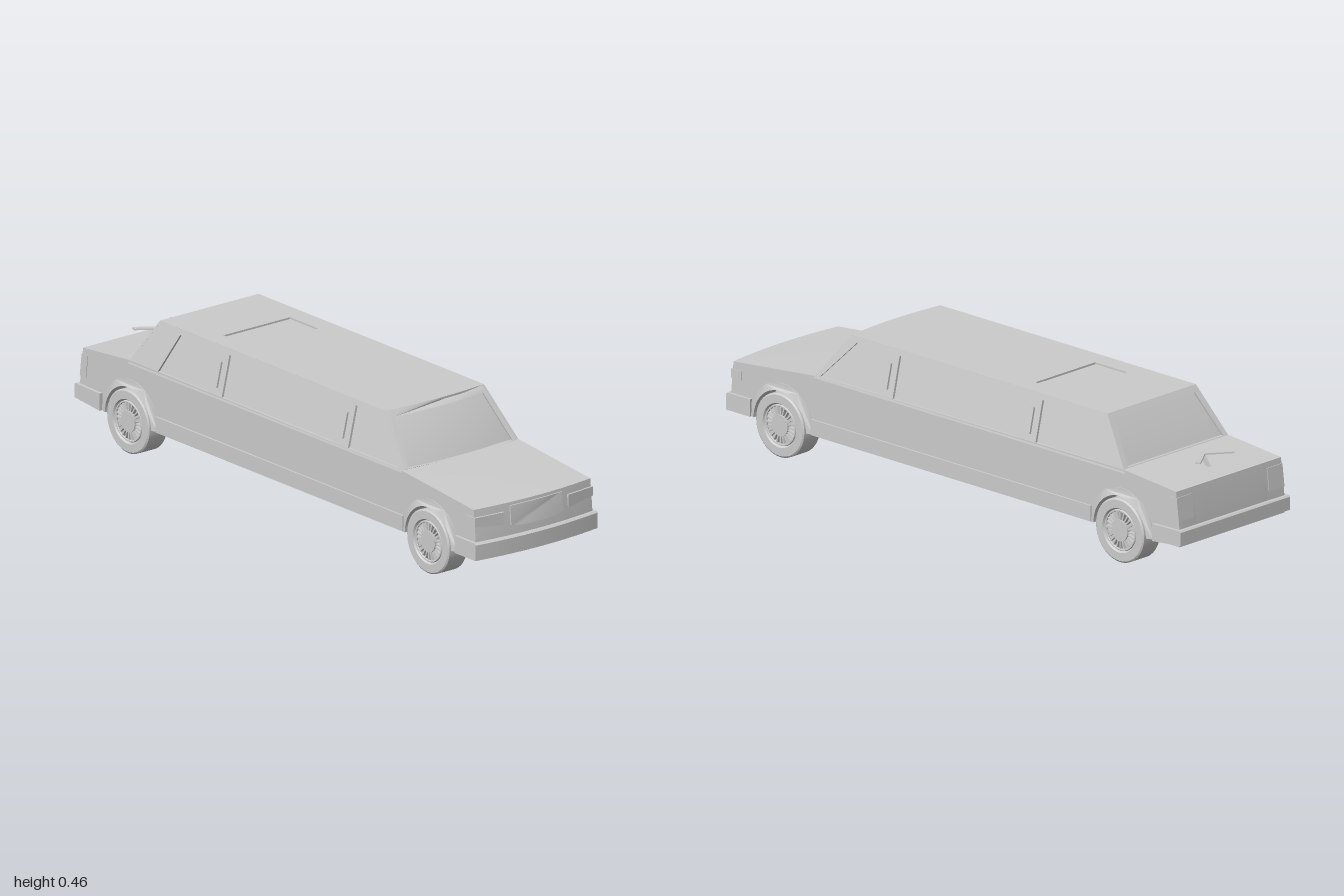
import * as THREE from 'three';
import { toCreasedNormals } from 'three/addons/utils/BufferGeometryUtils.js';

const material = new THREE.MeshStandardMaterial({ color: 0xcccccc });
const BELT = 0.3, ROOF = 0.457, HALF = 0.237, TAPER = 0.236;
const FRONT_AXLE = 0.745, REAR_AXLE = -0.735, AXLE_Y = 0.105;

function shapeOf(points) {
  return new THREE.Shape(points.map(([x, y]) => new THREE.Vector2(x, y)));
}

// Symmetric trapezoid whose long edges are subdivided so they can be bowed
function trapezoid(halfBottom, y0, halfTop, y1, n = 10) {
  const pts = [];
  for (let i = 0; i <= n; i++) pts.push([(2 * i / n - 1) * halfBottom, y0]);
  for (let i = n; i >= 0; i--) pts.push([(2 * i / n - 1) * halfTop, y1]);
  return shapeOf(pts);
}

function extrude(shape, depth, steps = 1) {
  return new THREE.ExtrudeGeometry(shape, { depth, steps, bevelEnabled: false, curveSegments: 24 });
}

// Extrude a (z, y) side outline across x
function extrudeX(shape, x0, x1, steps = 1) {
  return extrude(shape, x1 - x0, steps).rotateY(-Math.PI / 2).translate(x1, 0, 0);
}

function warp(geometry, rule) {
  const p = geometry.attributes.position, v = new THREE.Vector3();
  for (let i = 0; i < p.count; i++) {
    rule(v.fromBufferAttribute(p, i));
    p.setXYZ(i, v.x, v.y, v.z);
  }
  return geometry;
}

// The nose and windscreen bow gently forward at the middle
function bow(v) {
  const t = THREE.MathUtils.clamp((v.z - 0.35) / 0.12, 0, 1);
  v.z -= 0.018 * t * (v.x / HALF) ** 2;
}

function add(parent, name, geometry, bowed = true) {
  if (bowed) warp(geometry, bow);
  const mesh = new THREE.Mesh(toCreasedNormals(geometry, 0.5), material);
  mesh.name = name;
  parent.add(mesh);
  return mesh;
}

function makeWheel() {
  const wheel = new THREE.Group();
  wheel.name = 'wheel';
  const profile = [[0.07, 0], [0.1, 0], [0.105, 0.005], [0.105, 0.076], [0.1, 0.08],
    [0.073, 0.08], [0.068, 0.072], [0.068, 0], [0.07, 0]].map(([r, h]) => new THREE.Vector2(r, h));
  add(wheel, 'tyre', new THREE.LatheGeometry(profile, 40).rotateZ(-Math.PI / 2), false);
  const disc = (name, r, h, x) =>
    add(wheel, name, new THREE.CylinderGeometry(r, r, h, 32).rotateZ(-Math.PI / 2).translate(x, 0, 0), false);
  disc('rimDisc', 0.069, 0.006, 0.06);
  disc('hubCap', 0.035, 0.018, 0.07);
  add(wheel, 'rimRing', new THREE.TorusGeometry(0.064, 0.004, 6, 40).rotateY(Math.PI / 2).translate(0.074, 0, 0), false);
  for (let i = 0; i < 24; i++) {
    const spoke = new THREE.BoxGeometry(0.012, 0.03, 0.005).translate(0.07, 0.049, 0);
    add(wheel, 'spoke', spoke.rotateX(i * Math.PI / 12), false);
  }
  return wheel;
}

export function createModel() {
  const car = new THREE.Group();
  car.name = 'limousine';

  // Lower body: a solid centre and two flanks with wheel arches cut out
  const upper = [[0.985, 0.105], [0.985, 0.165], [0.975, 0.265], [0.62, 0.3],
    [-0.745, 0.305], [-0.97, 0.285], [-0.985, 0.165], [-0.985, 0.105]];
  add(car, 'bodyCore', extrudeX(shapeOf(upper), -0.16, 0.16, 10));
  const flank = new THREE.Shape();
  flank.moveTo(-0.985, AXLE_Y);
  for (const z of [REAR_AXLE, FRONT_AXLE + 0.014]) {
    flank.lineTo(z - 0.118, AXLE_Y);
    flank.absarc(z, AXLE_Y, 0.118, Math.PI, 0, true);
  }
  for (const [z, y] of upper.slice(0, -1)) flank.lineTo(z, y);
  add(car, 'leftFlank', extrudeX(flank, 0.16, HALF, 3));
  add(car, 'rightFlank', extrudeX(flank, -HALF, -0.16, 3));

  // Bumpers
  add(car, 'frontBumper', extrudeX(shapeOf([[0.895, 0.103], [0.998, 0.103], [1, 0.155], [0.994, 0.16], [0.895, 0.16]]), -0.248, 0.248, 14));
  add(car, 'rearBumper', extrudeX(shapeOf([[-0.875, 0.103], [-0.875, 0.16], [-0.995, 0.163], [-1, 0.158], [-1, 0.115]]), -0.248, 0.248));

  // Glass volume under the cabin panels
  const glass = extrudeX(shapeOf([[0.61, 0.29], [0.607, BELT], [0.481, 0.451], [-0.629, 0.451], [-0.734, BELT], [-0.738, 0.29]]), -1, 1, 12);
  add(car, 'glass', warp(glass, v => { v.x *= 0.229 - (v.y - BELT) * TAPER; }));

  // Cabin sides with three window openings each
  const side = shapeOf([[0.625, 0.293], [0.62, BELT], [0.49, ROOF], [-0.635, ROOF], [-0.745, BELT], [-0.75, 0.293]]);
  const windows = [
    [[0.598, 0.303], [0.336, 0.303], [0.336, 0.438], [0.462, 0.438]],
    [[0.265, 0.303], [-0.287, 0.303], [-0.287, 0.438], [0.265, 0.438]],
    [[-0.357, 0.303], [-0.603, 0.303], [-0.53, 0.438], [-0.357, 0.438]],
  ];
  side.holes.push(...windows.map(shapeOf));
  for (const s of [1, -1]) {
    const panel = s > 0 ? extrudeX(side, 0.228, HALF) : extrudeX(side, -HALF, -0.228);
    add(car, s > 0 ? 'leftCabinSide' : 'rightCabinSide', warp(panel, v => { v.x -= s * (v.y - BELT) * TAPER; }));
  }

  // Windscreen and rear window frames
  const screen = trapezoid(HALF, BELT, 0.2, ROOF);
  screen.holes.push(trapezoid(0.212, 0.302, 0.181, 0.437));
  add(car, 'windscreenFrame', warp(extrude(screen, 0.008), v => { v.z += 0.612 - (v.y - BELT) * 0.828; }));
  const rear = trapezoid(HALF, BELT, 0.2, ROOF);
  rear.holes.push(trapezoid(0.215, 0.308, 0.181, 0.437));
  add(car, 'rearWindowFrame', warp(extrude(rear, 0.008), v => { v.z += -0.745 + (v.y - BELT) * 0.7; }));

  // Roof skin with a sunken sunroof
  const roof = trapezoid(0.2, -0.49, 0.2, 0.635);
  roof.holes.push(trapezoid(0.135, 0.26, 0.135, 0.4, 1));
  add(car, 'roof', extrude(roof, 0.007).rotateX(-Math.PI / 2).translate(0, 0.45, 0));

  // Grille with a slightly curved lower edge
  const grille = trapezoid(0.105, 0.192, 0.105, 0.255);
  add(car, 'grille', warp(extrude(grille, 0.03), v => {
    if (v.y < 0.2) v.y -= 0.008 * (1 - (v.x / 0.105) ** 2);
    v.z += 0.957 - (v.y - 0.19) * 0.1;
  }));

  const head = [[0.13, 0.198], [0.239, 0.21], [0.239, 0.24], [0.13, 0.24]];
  const tail = [[0.17, 0.19], [0.239, 0.19], [0.239, 0.265], [0.17, 0.265]];
  for (const s of [1, -1]) {
    const mirror = pts => shapeOf(pts.map(([x, y]) => [s * x, y]));
    // Corner lamps
    add(car, 'headlight', extrude(mirror(head), 0.045).translate(0, 0, 0.94));
    add(car, 'tailLight', warp(extrude(mirror(tail), 0.03), v => { v.z += -0.984 + (v.y - 0.19) * 0.125; }));

    // Sill between the wheels
    const sill = add(car, 'sill', new THREE.BoxGeometry(0.012, 0.052, 1.22), false);
    sill.position.set(s * 0.238, 0.129, 0.005);

    // Slim lamps on the cabin pillars
    for (const z of [0.3, -0.322]) {
      const lamp = add(car, 'pillarLamp', new THREE.BoxGeometry(0.01, 0.085, 0.02), false);
      lamp.position.set(s * 0.223, 0.368, z);
      lamp.rotation.z = s * 0.232;
    }

    // Flared arches and wheels
    for (const z of [FRONT_AXLE, REAR_AXLE]) {
      const ring = new THREE.Shape();
      ring.absarc(z, AXLE_Y, 0.138, 0, Math.PI, false);
      ring.absarc(z, AXLE_Y, 0.114, Math.PI, 0, true);
      const flare = s > 0 ? extrudeX(ring, 0.215, 0.248) : extrudeX(ring, -0.248, -0.215);
      // Chamfer the outer rim of the flare
      warp(flare, v => {
        if (Math.hypot(v.z - z, v.y - AXLE_Y) > 0.13 && Math.abs(v.x) > 0.24) v.x = s * 0.24;
      });
      add(car, 'wheelArch', flare, false);
      const wheel = makeWheel();
      wheel.position.set(s * 0.17, AXLE_Y, z);
      if (s < 0) wheel.rotation.y = Math.PI;
      car.add(wheel);
    }
  }

  // Boomerang aerial on the boot lid
  const aerial = shapeOf([[0, 0.842], [0.084, 0.905], [0.076, 0.922], [0, 0.868], [-0.076, 0.922], [-0.084, 0.905]]);
  add(car, 'aerial', extrude(aerial, 0.005).rotateX(-Math.PI / 2).translate(0, 0.326, 0), false);
  const stalk = shapeOf([[-0.895, 0.285], [-0.88, 0.285], [-0.848, 0.328], [-0.862, 0.328]]);
  add(car, 'aerialStalk', extrudeX(stalk, -0.005, 0.005), false);

  return car;
}
